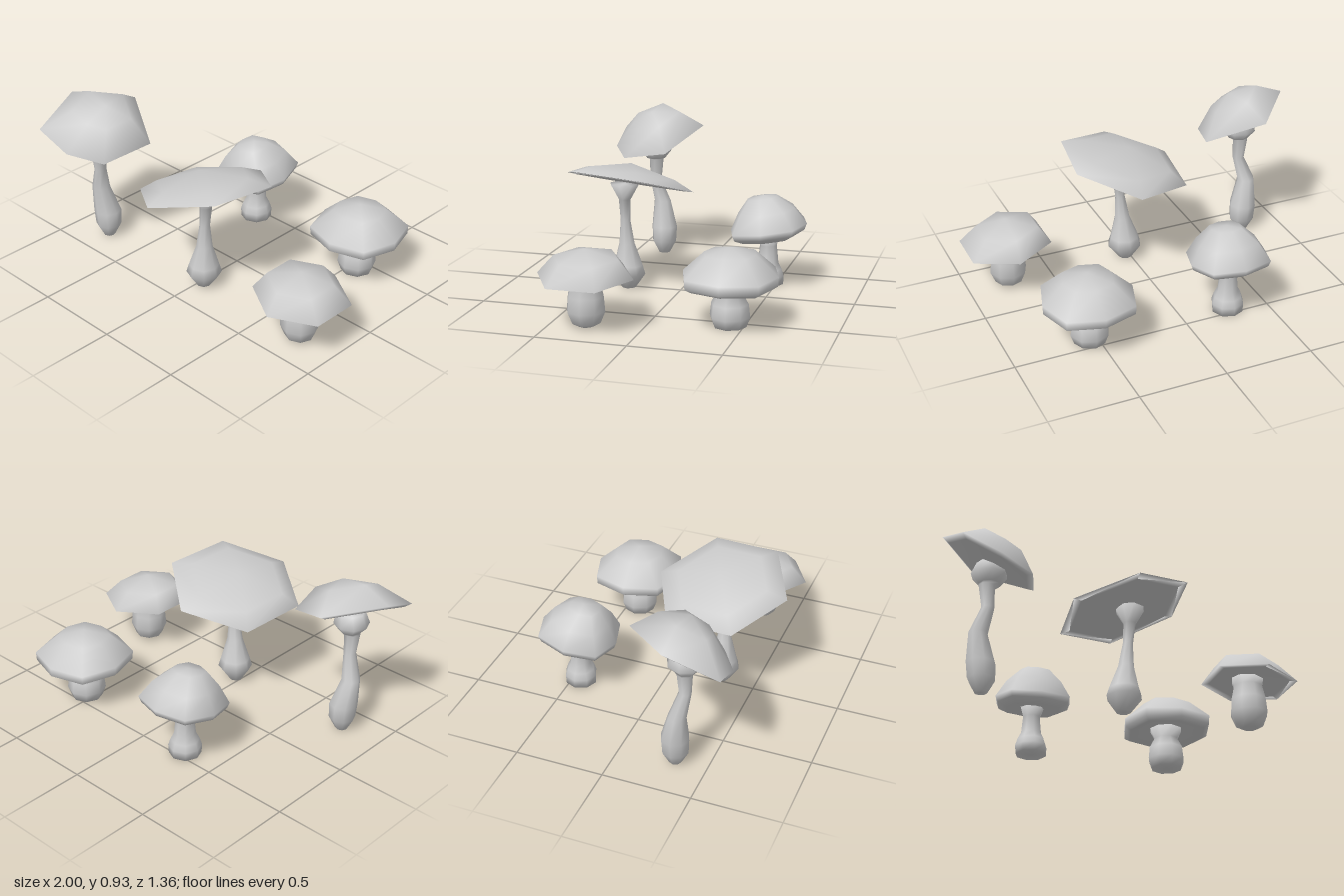
import * as THREE from 'three';
import { mergeVertices } from 'three/addons/utils/BufferGeometryUtils.js';

const material = new THREE.MeshStandardMaterial({ color: 0xcccccc });

// Smooth skin over rings listed from the underside up; a ring of scale 0 is a pole.
// outline: offsets [x, y, z] running from +x towards +z; ring: [scale, x, y, z of its centre]
function loft(name, outline, rings) {
  const n = outline.length, pos = [], index = [];
  for (const [s, x, y, z] of rings)
    for (const p of outline) pos.push(x + p[0] * s, y + p[1] * s, z + p[2] * s);
  for (let r = 0; r < rings.length - 1; r++)
    for (let i = 0; i < n; i++) {
      const a = r * n + i, b = r * n + (i + 1) % n;
      if (rings[r][0] > 0) index.push(a, a + n, b);
      if (rings[r + 1][0] > 0) index.push(b, a + n, b + n);
    }
  let geometry = new THREE.BufferGeometry();
  geometry.setAttribute('position', new THREE.Float32BufferAttribute(pos, 3));
  geometry.setIndex(index);
  geometry = mergeVertices(geometry, 1e-5);
  geometry.computeVertexNormals();
  const mesh = new THREE.Mesh(geometry, material);
  mesh.name = name;
  return mesh;
}

// Unit polygon lying on a sloped plane; odd corners may be pushed out
function polygon(n, { phase = 0, slopeX = 0, slopeZ = 0, odd = 1 } = {}) {
  return Array.from({ length: n }, (_, i) => {
    const a = phase + (i / n) * Math.PI * 2, r = i % 2 ? odd : 1;
    const x = Math.cos(a) * r, z = Math.sin(a) * r;
    return [x, x * slopeX + z * slopeZ, z];
  });
}

// Stem ring: [radius, x, y, z]; closed with poles at both ends
function stem(sides, rings) {
  const first = rings[0], last = rings[rings.length - 1];
  return loft('stem', polygon(sides), [[0, ...first.slice(1)], ...rings, [0, ...last.slice(1)]]);
}

function mushroom(name, ...parts) {
  const group = new THREE.Group();
  group.name = name;
  group.add(...parts);
  return group;
}

export function createModel() {
  const model = new THREE.Group();
  model.name = 'mushrooms';

  // Tall bent mushroom with a strongly tilted cap
  const bentRim = [
    [0.27, -0.06, -0.13], [0.19, -0.115, 0.15], [0, -0.08, 0.26],
    [-0.22, 0, 0.27], [-0.27, 0.12, -0.02], [-0.03, 0.07, -0.29],
  ];
  model.add(mushroom('bentMushroom',
    loft('cap', bentRim, [
      [0, -0.74, 0.73, 0.37], [0.35, -0.74, 0.72, 0.37], [0.86, -0.735, 0.735, 0.36],
      [1, -0.73, 0.75, 0.36], [0.53, -0.69, 0.87, 0.36], [0, -0.67, 0.905, 0.37],
    ]),
    stem(8, [
      [0.035, -0.755, 0.005, 0.32], [0.075, -0.755, 0.08, 0.32], [0.08, -0.76, 0.17, 0.32],
      [0.052, -0.785, 0.33, 0.34], [0.035, -0.745, 0.47, 0.37], [0.045, -0.755, 0.6, 0.37],
      [0.06, -0.74, 0.61, 0.37], [0.1, -0.745, 0.66, 0.37], [0.08, -0.735, 0.73, 0.37],
    ])));

  // Large wide mushroom in the middle
  const wideRim = [
    [0.345, 0.08, -0.16], [0.295, 0.1, 0.22], [-0.04, 0.02, 0.385],
    [-0.34, -0.075, 0.17], [-0.3, -0.1, -0.22], [0.05, -0.03, -0.39],
  ];
  model.add(mushroom('wideMushroom',
    loft('cap', wideRim, [
      [0, 0.06, 0.635, 0.3], [0.25, 0.06, 0.625, 0.3], [0.85, 0.04, 0.625, 0.29],
      [1, 0.04, 0.63, 0.29], [0.7, 0.02, 0.675, 0.29], [0, 0.0, 0.725, 0.29],
    ]),
    stem(8, [
      [0.04, 0.03, 0.005, 0.3], [0.1, 0.035, 0.09, 0.3], [0.085, 0.035, 0.14, 0.3],
      [0.045, 0.045, 0.27, 0.305], [0.029, 0.055, 0.41, 0.31], [0.035, 0.065, 0.53, 0.31],
      [0.085, 0.065, 0.62, 0.31],
    ])));

  // Small domed mushroom at the back
  model.add(mushroom('domedMushroom',
    loft('cap', polygon(8, { slopeZ: -0.15, odd: 1.1 }), [
      [0, -0.275, 0.3, -0.44], [0.07, -0.275, 0.285, -0.44], [0.155, -0.27, 0.275, -0.45],
      [0.21, -0.27, 0.305, -0.45], [0.223, -0.27, 0.34, -0.45], [0.165, -0.27, 0.435, -0.435],
      [0.085, -0.27, 0.51, -0.41], [0, -0.27, 0.525, -0.42],
    ]),
    stem(8, [
      [0.09, -0.275, 0, -0.45], [0.093, -0.275, 0.05, -0.45], [0.08, -0.275, 0.09, -0.45],
      [0.06, -0.275, 0.13, -0.45], [0.05, -0.275, 0.23, -0.45], [0.07, -0.275, 0.29, -0.44],
    ])));

  // Stout mushroom at the back
  model.add(mushroom('stoutMushroom',
    loft('cap', polygon(8, { odd: 1.08 }), [
      [0, 0.545, 0.255, -0.425], [0.1, 0.545, 0.245, -0.425], [0.225, 0.55, 0.218, -0.427],
      [0.255, 0.55, 0.238, -0.427], [0.258, 0.55, 0.288, -0.427],
      [0.14, 0.55, 0.398, -0.425], [0, 0.55, 0.433, -0.425],
    ]),
    stem(8, [
      [0.09, 0.545, 0, -0.425], [0.11, 0.545, 0.055, -0.425], [0.102, 0.545, 0.125, -0.425],
      [0.07, 0.545, 0.185, -0.425], [0.1, 0.545, 0.25, -0.425],
    ])));

  // Low six-sided mushroom at the front
  model.add(mushroom('lowMushroom',
    loft('cap', polygon(6, { phase: Math.PI / 6, slopeX: -0.06 }), [
      [0, 0.76, 0.3, 0.3], [0.1, 0.76, 0.29, 0.3], [0.225, 0.768, 0.28, 0.3],
      [0.267, 0.768, 0.277, 0.3], [0.18, 0.755, 0.375, 0.3], [0, 0.765, 0.425, 0.302],
    ]),
    stem(8, [
      [0.045, 0.76, 0.005, 0.3], [0.08, 0.76, 0.025, 0.3], [0.107, 0.76, 0.09, 0.3],
      [0.1, 0.76, 0.17, 0.3], [0.082, 0.76, 0.25, 0.3], [0.095, 0.76, 0.3, 0.3],
    ])));

  return model;
}
